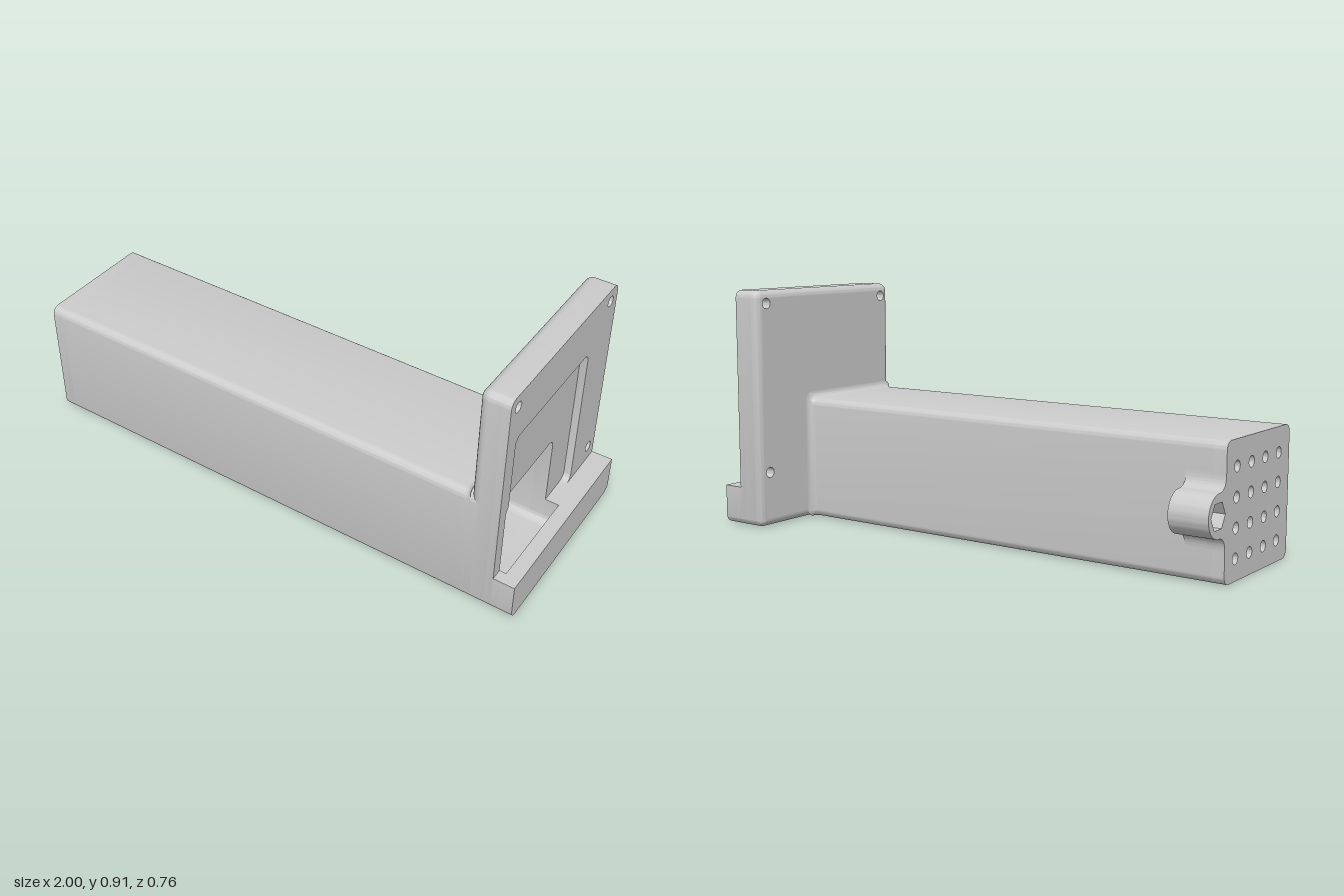
import * as THREE from 'three';
import { toCreasedNormals } from 'three/addons/utils/BufferGeometryUtils.js';

// Cross-sections are drawn in (u, v) = (-z, y) and extruded along x.
const V = (u, v) => new THREE.Vector2(u, v);
const material = new THREE.MeshStandardMaterial({ color: 0xcccccc });

// Rounded rectangle outline, counter-clockwise
function roundRect(u0, u1, v0, v1, r) {
  const pts = [];
  const corners = [[u1 - r, v0 + r], [u1 - r, v1 - r], [u0 + r, v1 - r], [u0 + r, v0 + r]];
  corners.forEach(([u, v], k) => {
    for (let i = 0; i <= 8; i++) {
      const a = (k - 1 + i / 8) * Math.PI / 2;
      pts.push(V(u + r * Math.cos(a), v + r * Math.sin(a)));
    }
  });
  return pts;
}

function circle(u, v, r, n = 32) {
  return Array.from({ length: n }, (_, i) => {
    const a = (i / n) * Math.PI * 2;
    return V(u + r * Math.cos(a), v + r * Math.sin(a));
  });
}

function makeShape(outline, holes = []) {
  const s = new THREE.Shape(outline);
  s.holes = holes.map(h => new THREE.Path(h));
  return s;
}

function addMesh(group, name, geometry) {
  const m = new THREE.Mesh(geometry, material);
  m.name = name;
  group.add(m);
}

// Straight slab between two x positions
function slab(group, name, outline, holes, x0, x1) {
  const g = new THREE.ExtrudeGeometry(makeShape(outline, holes), { depth: x1 - x0, bevelEnabled: false });
  g.translate(0, 0, x0);
  addMesh(group, name, toCreasedNormals(g, 0.5));
}

// Skin through matching outlines, each given as [points, x]
function skin(group, name, rings, inward = false) {
  const pos = [], n = rings[0][0].length;
  for (let k = 0; k + 1 < rings.length; k++) {
    const [p, x] = rings[k], [q, y] = rings[k + 1];
    for (let i = 0; i < n; i++) {
      const j = (i + 1) % n;
      const a = [p[i].x, p[i].y, x], b = [p[j].x, p[j].y, x];
      const c = [q[j].x, q[j].y, y], d = [q[i].x, q[i].y, y];
      pos.push(...(inward ? [a, c, b, a, d, c] : [a, b, c, a, c, d]).flat());
    }
  }
  const g = new THREE.BufferGeometry();
  g.setAttribute('position', new THREE.Float32BufferAttribute(pos, 3));
  addMesh(group, name, toCreasedNormals(g, 0.5));
}

export function createModel() {
  const root = new THREE.Group();
  root.name = 'housing';
  const body = new THREE.Group();
  body.name = 'body';
  body.rotation.y = Math.PI / 2;
  root.add(body);

  const beam = roundRect(-0.38, 0.1, 0, 0.475, 0.03);
  const cavity = roundRect(-0.335, 0.055, 0.045, 0.432, 0.03);
  const plate = roundRect(-0.38, 0.38, 0, 0.907, 0.03);
  const screws = [[-0.33, 0.858], [0.328, 0.858], [0.328, 0.21]].map(([u, v]) => circle(u, v, 0.02));

  // Perforated end wall
  const vents = [];
  for (let i = 0; i < 4; i++)
    for (let j = 0; j < 4; j++) vents.push(circle(-0.295 + i * 0.106, 0.077 + j * 0.1025, 0.02, 24));
  slab(body, 'perforatedEnd', beam, vents, -1, -0.955);

  // Hollow beam
  slab(body, 'hollowBeam', beam, [cavity], -0.955, 0.84);

  // Concave fillet where the beam meets the plate
  const r = 0.025, fillet = [], edge = [];
  for (let i = 0; i <= 8; i++) {
    const a = (i / 8) * Math.PI / 2;
    const d = r * (1 - Math.cos(a));
    fillet.push([roundRect(-0.38, 0.1 + d, 0, 0.475 + d, 0.03), 0.81 - r + r * Math.sin(a)]);
    // Rounded rear edge of the plate
    const e = 0.029 * (1 - Math.sin(a));
    edge.push([roundRect(-0.38 + e, 0.38 - e, e, 0.907 - e, 0.03 - e), 0.84 - 0.03 * Math.cos(a)]);
  }
  skin(body, 'beamFillet', fillet);
  skin(body, 'plateRoundedEdge', edge);

  // Rear face of the plate and its screw holes
  const rear = new THREE.ShapeGeometry(makeShape(edge[0][0], [cavity, ...screws]));
  rear.scale(1, 1, -1);
  const idx = rear.index.array;
  for (let i = 0; i < idx.length; i += 3) [idx[i], idx[i + 1]] = [idx[i + 1], idx[i]];
  rear.translate(0, 0, 0.81);
  rear.computeVertexNormals();
  addMesh(body, 'plateRearFace', rear);
  for (const s of screws) skin(body, 'screwHole', [[s, 0.81], [s, 0.84]], true);

  // Plate, with a shallow pocket joined to the cavity mouth
  slab(body, 'plate', plate, [cavity, ...screws], 0.84, 0.893);
  const pocket = roundRect(-0.32, 0.197, 0.148, 0.722, 0.03);
  const mouth = [
    ...pocket.slice(0, 27), V(-0.32, 0.428),
    ...cavity.slice(18, 27).filter(p => p.x < -0.321),
    ...cavity.slice(27), ...cavity.slice(0, 9), V(0.055, 0.148),
  ];
  slab(body, 'pocketedPlate', plate, [mouth, ...screws], 0.893, 0.92);

  // Bottom lip, notched behind by the cavity
  const low = [...plate.slice(27), ...plate.slice(0, 9)];
  const lip = [...low, V(0.38, 0.148), V(-0.38, 0.148)];
  const notch = [...cavity.slice(27), ...cavity.slice(0, 9)].reverse();
  slab(body, 'notchedLip',
    [...low, V(0.38, 0.148), V(0.055, 0.148), ...notch, V(-0.335, 0.148), V(-0.38, 0.148)], [], 0.92, 0.945);
  slab(body, 'lip', lip, [], 0.945, 1);

  // Side lug with a bolt hole and a hexagonal nut recess
  const lug = new THREE.Shape();
  lug.moveTo(0.08, 0.11);
  lug.lineTo(0.1, 0.11);
  lug.quadraticCurveTo(0.1, 0.165, 0.145, 0.165);
  lug.absarc(0.145, 0.24, 0.075, -Math.PI / 2, Math.PI / 2, false);
  lug.quadraticCurveTo(0.1, 0.315, 0.1, 0.37);
  lug.lineTo(0.08, 0.37);
  const lugOutline = lug.getPoints(16);
  slab(body, 'lugNutRecess', lugOutline, [circle(0.152, 0.24, 0.05, 6)], -1, -0.94);
  slab(body, 'lug', lugOutline, [circle(0.152, 0.24, 0.034)], -0.94, -0.855);

  return root;
}
